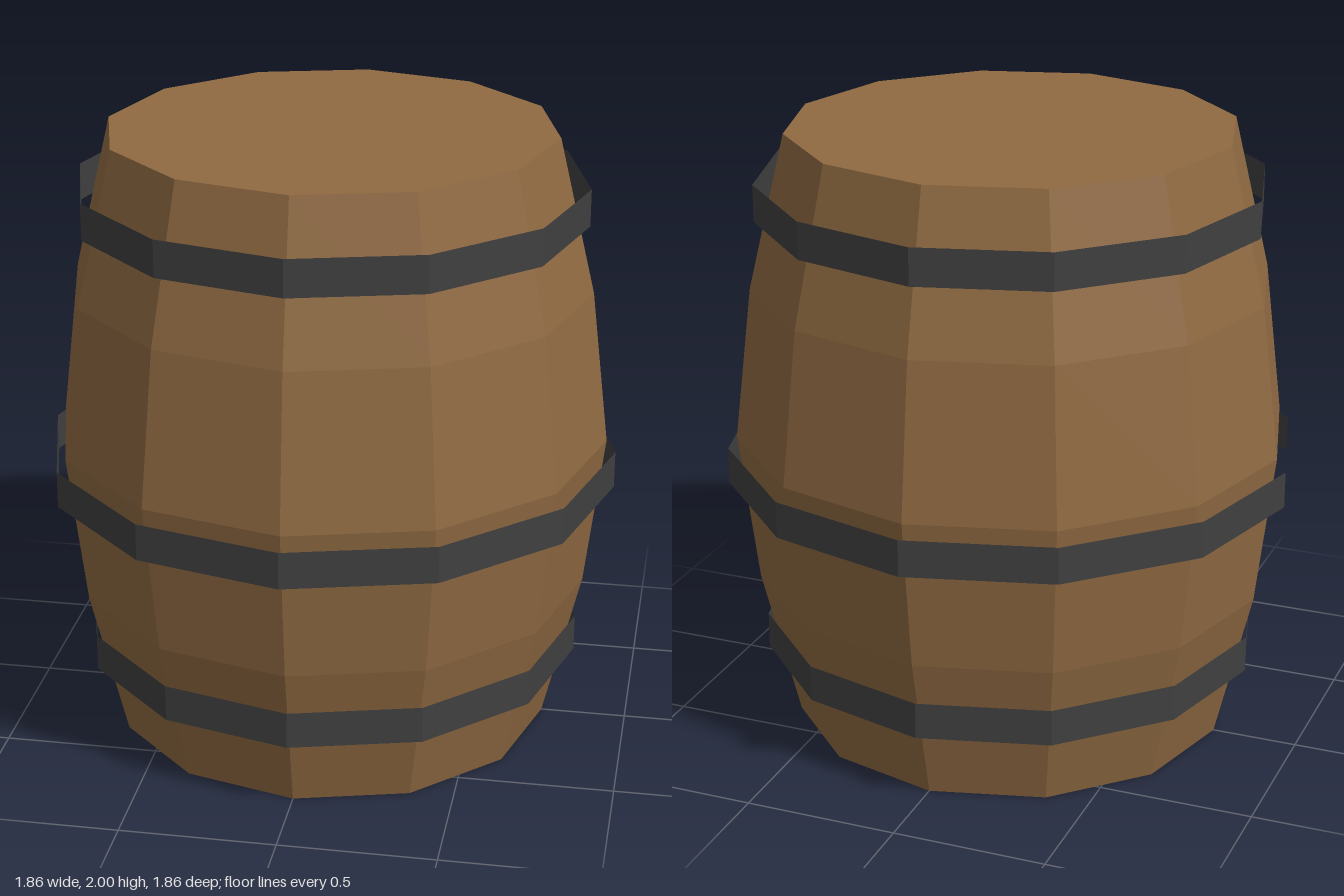
import * as THREE from 'three';

const SIDES = 12;

export function createModel() {
  const barrel = new THREE.Group();
  barrel.name = 'barrel';

  const wood = new THREE.MeshStandardMaterial({ color: 0x906a42, flatShading: true });
  wood.name = 'brown wood';
  const iron = new THREE.MeshStandardMaterial({ color: 0x404040, flatShading: true, side: THREE.DoubleSide });
  iron.name = 'dark iron';

  // Bulging wooden body, closed by flat lids
  const profile = [[0, 0], [0.72, 0], [0.84, 0.5], [0.9, 1], [0.84, 1.5], [0.72, 2], [0, 2]]
    .map(([r, y]) => new THREE.Vector2(r, y));
  const body = new THREE.Mesh(new THREE.LatheGeometry(profile, SIDES), wood);
  body.name = 'body';
  barrel.add(body);

  // Thin open hoops standing slightly off the staves
  const hoops = [
    ['lowerHoop', 0.82, 0.3],
    ['middleHoop', 0.93, 0.9],
    ['upperHoop', 0.82, 1.78],
  ];
  for (const [name, radius, y] of hoops) {
    const hoop = new THREE.Mesh(new THREE.CylinderGeometry(radius, radius, 0.12, SIDES, 1, true), iron);
    hoop.name = name;
    hoop.position.y = y;
    barrel.add(hoop);
  }

  return barrel;
}
